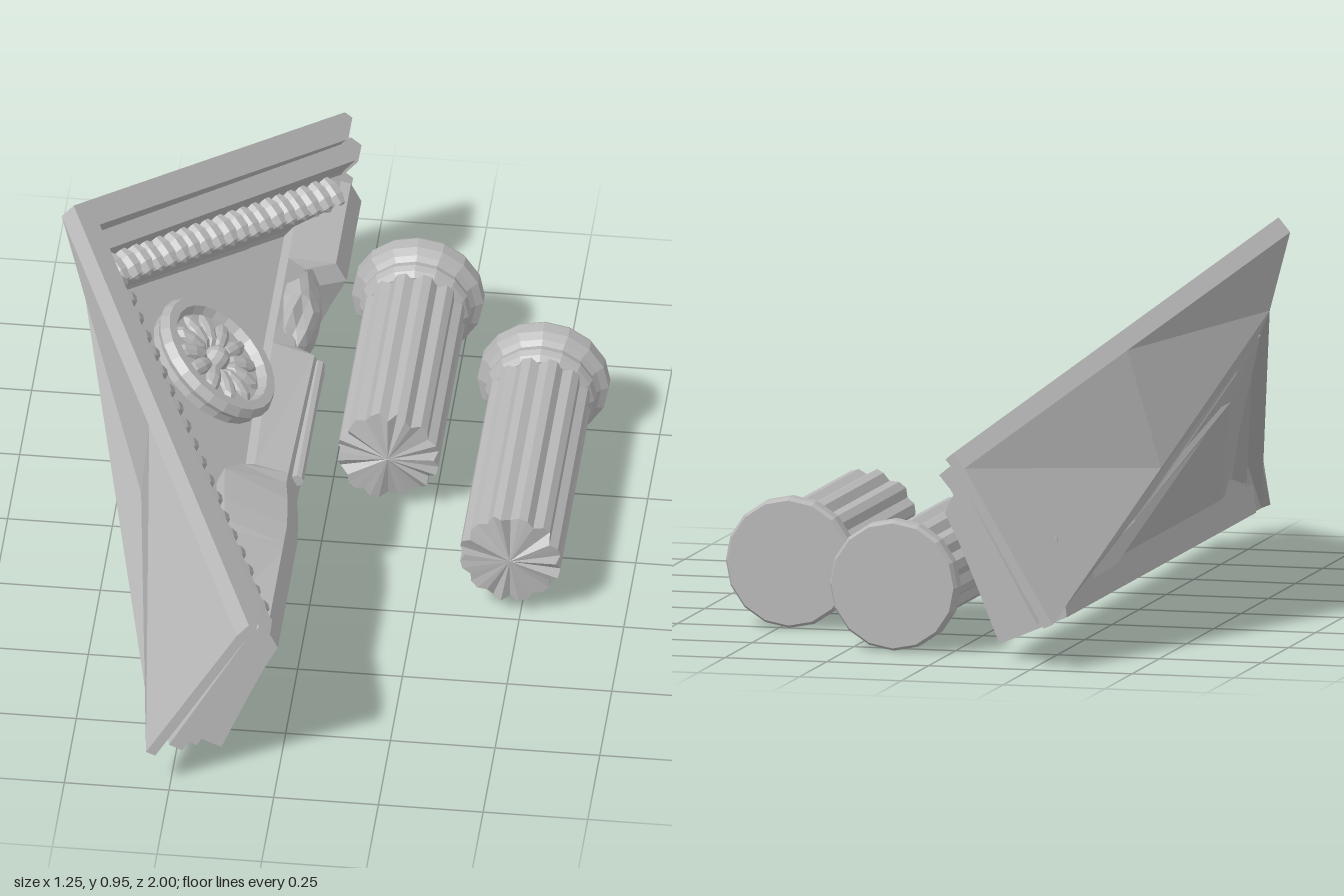
import * as THREE from 'three';

const stone = new THREE.MeshStandardMaterial({ color: 0xb8b8b8, flatShading: true });
stone.name = 'grey stone';

let seed = 7;
const rand = () => { seed = (seed * 16807) % 2147483647; return seed / 2147483647 - 0.5; };

function add(parent, name, geometry, x = 0, y = 0, z = 0) {
  const mesh = new THREE.Mesh(geometry, stone);
  mesh.name = name;
  mesh.position.set(x, y, z);
  parent.add(mesh);
  return mesh;
}

const PITCH = 0.693;

// Depth of the leaning back plane for a height v on the gable face
const backDepth = v => (v > 0.305 ? -0.11 + (v - 0.305) * 0.511 : -0.11 + (0.305 - v) * 0.3);

// Gable layer: flat outline pulled to a front depth, a thin rim, and the sloping back
function gableLayer(points, front, spread, inset) {
  const shape = new THREE.Shape(points.map(p => new THREE.Vector2(p[0], p[1])));
  const g = new THREE.ExtrudeGeometry(shape, { depth: 1, steps: 2, bevelEnabled: false });
  const p = g.attributes.position;
  for (let i = 0; i < p.count; i++) {
    const x = p.getX(i), t = p.getZ(i);
    let v = p.getY(i);
    const f = front + spread * Math.abs(x);
    let n = f;
    if (t < 0.25) {
      v -= 0.068 + 0.092 * (1 - Math.abs(x));
      // The rear edge is hollowed on one side
      const hollow = Math.abs(x + 0.5) < 0.01 ? 0.1 : 0;
      n = Math.min(backDepth(v) + inset + hollow, f - 0.05);
    } else if (t < 0.75) n = f - 0.045;
    p.setXYZ(i, x, v, n);
  }
  g.computeVertexNormals();
  return g;
}

// Inverted V with upright ends
function chevron(apex, inner, w, bottom) {
  const wi = Math.min(w - 0.06, (inner - bottom) / PITCH - 0.01);
  const side = [[w, bottom], [w, apex - PITCH * w], [0.5, apex - PITCH * 0.5]];
  const inside = [[0.5, inner - PITCH * 0.5], [wi, inner - PITCH * wi], [wi, bottom]];
  const flip = a => a.map(([x, y]) => [-x, y]).reverse();
  return [...side, [0, apex], ...flip(side), ...flip(inside), [0, inner], ...inside];
}

// Horizontal cornice lofted along z: [z, lift of underside, recess of front, rise of top]
function corniceGeometry() {
  const sections = [
    [-0.87, 0, 0, 0], [-0.56, 0, 0, 0], [-0.53, 0.03, 0.07, 0], [-0.23, 0.03, 0.06, 0], [-0.2, 0.03, 0.01, 0],
    [0.26, 0.03, 0.02, -0.01], [0.3, 0.04, 0.02, 0.02], [0.36, 0.12, 0.01, 0.05], [0.46, 0.15, 0, 0.04],
    [0.53, 0.09, 0, 0.03], [0.56, 0, 0, 0.02], [0.87, 0, 0, 0],
  ];
  const pos = [], idx = [], n = 8;
  for (const [z, lift, r, rise] of sections) {
    const ring = [
      [-0.305, 0.11], [-0.14 + 0.4 * lift, 0.04 + 0.92 * lift], [-0.07 - r * 0.4, 0.21 + lift * 0.2],
      [-0.04 - r, 0.28], [-0.005 - r, 0.35], [-0.03 - r, 0.4], [-0.14 - rise, 0.43 + rise], [-0.28, 0.3],
    ];
    for (const [x, y] of ring) pos.push(x, y, z);
  }
  for (let s = 0; s < sections.length - 1; s++) {
    for (let i = 0; i < n; i++) {
      const a = s * n + i, b = s * n + (i + 1) % n;
      idx.push(a, b, b + n, a, b + n, a + n);
    }
  }
  const last = (sections.length - 1) * n;
  for (let i = 1; i < n - 1; i++) {
    idx.push(0, i + 1, i, last, last + i, last + i + 1);
  }
  const g = new THREE.BufferGeometry();
  g.setAttribute('position', new THREE.Float32BufferAttribute(pos, 3));
  g.setIndex(idx);
  g.computeVertexNormals();
  return g;
}

// Round flower medallion on the gable field
function makeRosette() {
  const rosette = new THREE.Group();
  rosette.name = 'rosette';
  add(rosette, 'disc', new THREE.CylinderGeometry(0.165, 0.165, 0.04, 24).rotateX(Math.PI / 2));
  add(rosette, 'rim', new THREE.TorusGeometry(0.15, 0.024, 6, 24), 0, 0, 0.02);
  for (let i = 0; i < 12; i++) {
    const a = i * Math.PI / 6;
    const petal = add(rosette, 'petal', new THREE.SphereGeometry(1, 8, 5), Math.cos(a) * 0.08, Math.sin(a) * 0.08, 0.02);
    petal.scale.set(0.05, 0.021, 0.018);
    petal.rotation.z = a;
  }
  add(rosette, 'boss', new THREE.SphereGeometry(0.032, 10, 6), 0, 0, 0.02);
  return rosette;
}

// Fallen fluted column lying along z: capital at z0, broken end at z1
function makeColumn(name, x, z0, z1) {
  const column = new THREE.Group();
  column.name = name;
  column.position.set(x, 0.158, z0);

  const shaftLen = z1 - z0 - 0.06;
  const shaft = new THREE.CylinderGeometry(0.122, 0.122, shaftLen, 36, 1).rotateX(Math.PI / 2);
  const p = shaft.attributes.position;
  const chips = Array.from({ length: 36 }, () => rand() * 0.025);
  for (let i = 0; i < p.count; i++) {
    const px = p.getX(i), py = p.getY(i), r = Math.hypot(px, py);
    if (r < 0.01) continue;
    const k = (Math.round(Math.atan2(py, px) / (Math.PI / 18)) + 36) % 36;
    const s = k % 3 === 0 ? 0.9 : 1;
    const end = p.getZ(i) > 0 ? chips[k] - 0.012 : 0;
    p.setXYZ(i, px * s, py * s, p.getZ(i) + end);
  }
  shaft.computeVertexNormals();
  add(column, 'shaft', shaft, 0, 0, 0.06 + shaftLen / 2);

  // Stepped capital, turned around the column axis
  const profile = [[0, 0], [0.15, 0], [0.157, 0.012], [0.157, 0.045], [0.14, 0.056], [0.13, 0.068],
    [0.134, 0.085], [0.128, 0.1], [0.115, 0.112], [0, 0.112]].map(q => new THREE.Vector2(q[0], q[1]));
  add(column, 'capital', new THREE.LatheGeometry(profile, 16).rotateX(Math.PI / 2));
  return column;
}

export function createModel() {
  const model = new THREE.Group();
  model.name = 'templeRuin';

  // Gable leaning back; its own frame has x across, y up the face and z outward
  const gable = new THREE.Group();
  gable.name = 'pediment';
  const basis = new THREE.Matrix4().makeBasis(
    new THREE.Vector3(0, 0, -1),
    new THREE.Vector3(-0.769, 0.639, 0),
    new THREE.Vector3(0.639, 0.769, 0));
  gable.quaternion.setFromRotationMatrix(basis);
  model.add(gable);

  add(gable, 'outerRakingCornice', gableLayer(chevron(1.066, 0.985, 1, 0.35), 0.356, 0, 0));
  add(gable, 'middleRakingCornice', gableLayer(chevron(0.995, 0.925, 0.955, 0.3), 0.31, 0.03, 0.012));
  add(gable, 'innerRakingCornice', gableLayer(chevron(0.935, 0.835, 0.91, 0.27), 0.265, 0.015, 0.008));
  const fieldWidth = (0.85 - 0.33) / PITCH;
  add(gable, 'gableField', gableLayer([[-fieldWidth, 0.33], [fieldWidth, 0.33], [0, 0.85]], 0.21, 0, 0));

  // Row of worn egg-shaped beads under each sloping cornice
  for (const s of [-1, 1]) {
    for (let i = 0; i < 19; i++) {
      const x = 0.025 + i * 0.0435;
      const bead = add(gable, 'bead', new THREE.SphereGeometry(1, 7, 5), s * x, 0.88 - PITCH * x, 0.265 + 0.015 * x);
      bead.scale.set(0.026, 0.045, 0.026 + rand() * 0.01);
      bead.rotation.z = -s * 0.606;
    }
  }

  const rosette = makeRosette();
  rosette.position.set(0, 0.53, 0.225);
  gable.add(rosette);

  // Broken base cornice
  add(model, 'horizontalCornice', corniceGeometry());
  for (const [y, x, r] of [[0.375, -0.03, 0.016], [0.3, -0.045, 0.014]]) {
    add(model, 'corniceMoulding', new THREE.CylinderGeometry(r, r, 0.45, 8).rotateX(Math.PI / 2), x, y, 0.03);
  }

  // Rough break in the cornice
  const rubble = new THREE.IcosahedronGeometry(1, 2);
  const p = rubble.attributes.position;
  for (let i = 0; i < p.count; i++) {
    const x = p.getX(i), y = p.getY(i), z = p.getZ(i);
    const k = 1 + 0.14 * Math.sin(x * 9 + y * 5) * Math.cos(z * 8 - y * 6);
    p.setXYZ(i, x * k, y * k, z * k);
  }
  rubble.computeVertexNormals();
  add(model, 'brokenStone', rubble, -0.105, 0.36, -0.38).scale.set(0.06, 0.08, 0.16);

  model.add(makeColumn('nearColumn', 0.475, -0.51, 0.23));
  model.add(makeColumn('farColumn', 0.142, -0.8, -0.13));
  return model;
}
